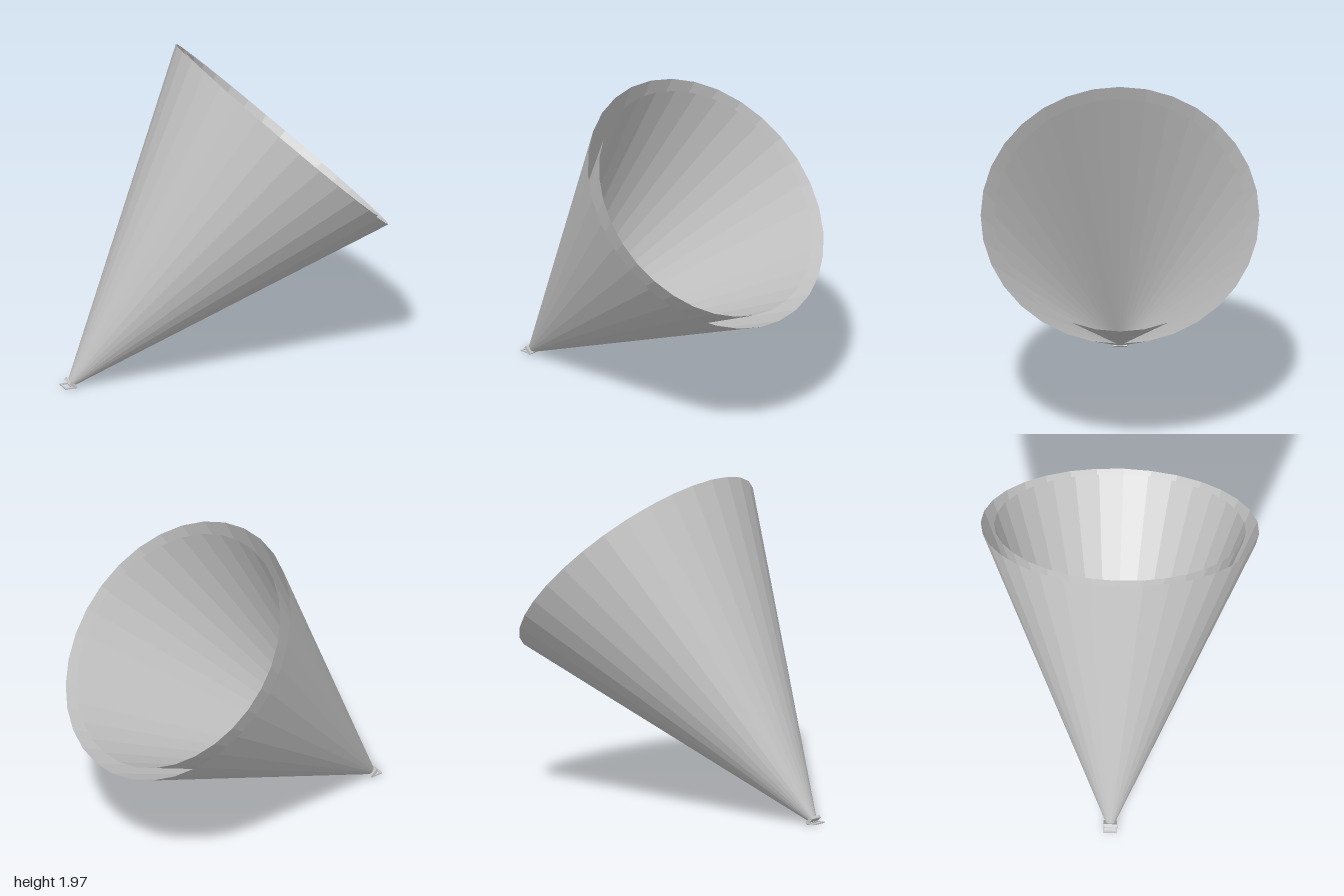
import * as THREE from 'three';

export function createModel() {
  const model = new THREE.Group();
  const grey = new THREE.MeshStandardMaterial({
    name: 'grey', color: 0xc4c4c4, flatShading: true, side: THREE.DoubleSide,
  });

  const add = (parent, name, geometry, x, y, z) => {
    const mesh = new THREE.Mesh(geometry, grey);
    mesh.name = name;
    mesh.position.set(x, y, z);
    parent.add(mesh);
  };

  // Everything tilted leans 45 degrees; local y runs along the cone axis
  const tilted = new THREE.Group();
  tilted.name = 'tiltedAssembly';
  tilted.position.set(0.419, 1.384, 0);
  tilted.rotation.z = -Math.PI / 4;
  model.add(tilted);

  // Two nested open shells with an open gap at the rim
  const length = 1.92;
  for (const [name, rim, tip] of [['outerCone', 0.824, 0.028], ['innerCone', 0.745, 0.022]]) {
    add(tilted, name, new THREE.CylinderGeometry(rim, tip, length, 32, 1, true), 0, -length / 2, 0);
  }

  // Small block closing the narrow end
  add(tilted, 'tipBlock', new THREE.BoxGeometry(0.056, 0.018, 0.08), 0, -length - 0.012, 0);

  // Flat open frame on the ground under the tip
  const base = new THREE.Group();
  base.name = 'baseFrame';
  model.add(base);
  add(base, 'backBar', new THREE.BoxGeometry(0.012, 0.008, 0.084), -0.994, 0.004, 0);
  add(base, 'frontBar', new THREE.BoxGeometry(0.012, 0.008, 0.084), -0.95, 0.004, 0);
  for (const side of [-1, 1]) {
    add(base, 'sideBar', new THREE.BoxGeometry(0.056, 0.008, 0.01), -0.972, 0.004, side * 0.037);
  }

  return model;
}
